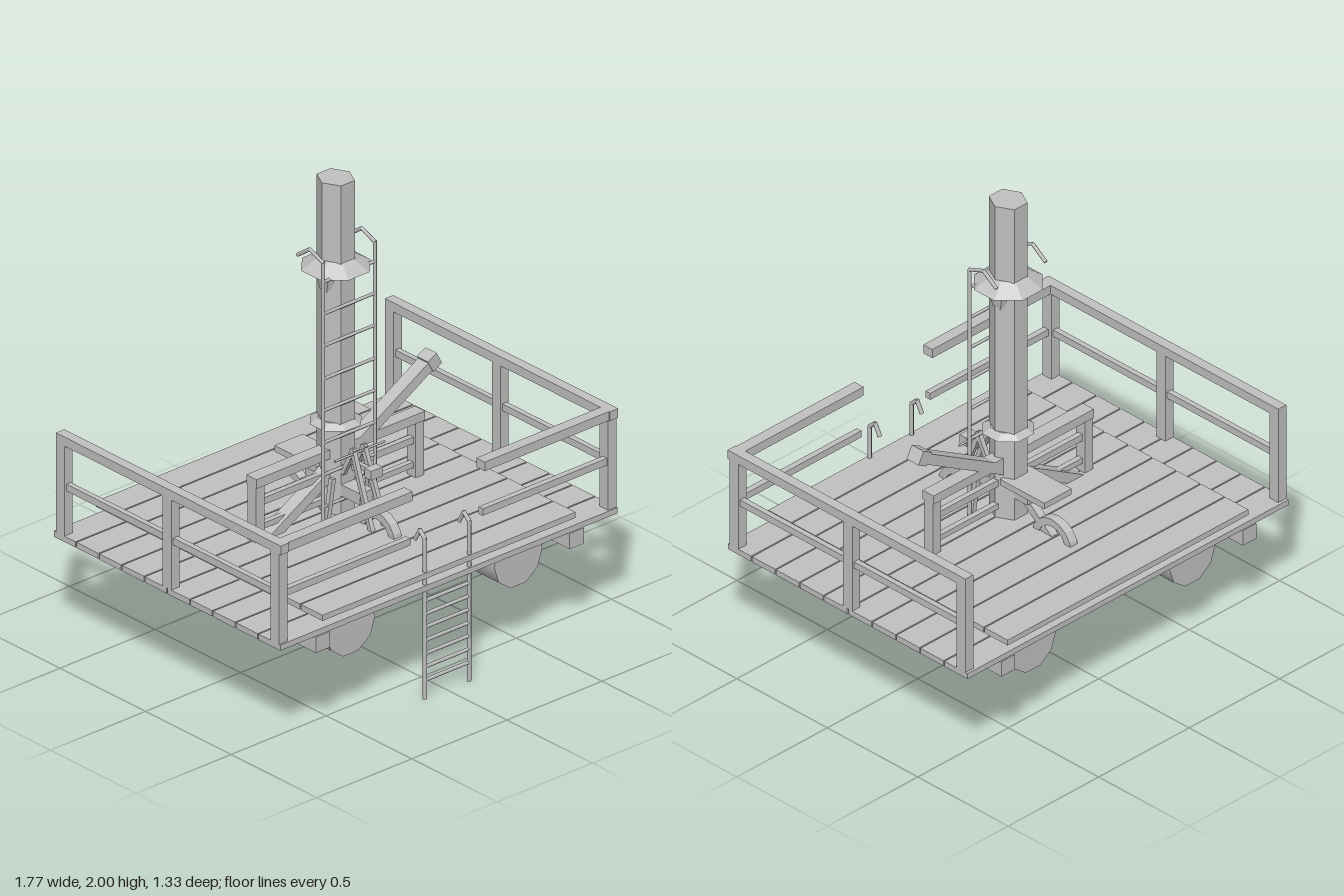
import * as THREE from 'three';

export function createModel() {
  const root = new THREE.Group();
  const grey = new THREE.MeshStandardMaterial({ color: 0xc0c0c0 });
  grey.name = 'plain grey';

  const group = (name, parent = root) => {
    const g = new THREE.Group();
    g.name = name;
    parent.add(g);
    return g;
  };
  const add = (parent, name, geo, x = 0, y = 0, z = 0) => {
    const m = new THREE.Mesh(geo, grey);
    m.name = name;
    m.position.set(x, y, z);
    parent.add(m);
    return m;
  };
  // box given by its extents on each axis
  const box = (parent, name, [x0, x1], [y0, y1], [z0, z1]) => add(parent, name,
    new THREE.BoxGeometry(x1 - x0, y1 - y0, z1 - z0), (x0 + x1) / 2, (y0 + y1) / 2, (z0 + z1) / 2);
  const flat = (geo) => {
    const g = geo.toNonIndexed();
    g.computeVertexNormals();
    return g;
  };
  // square bar between two points
  const bar = (parent, name, a, b, w, h = w) => {
    const p = new THREE.Vector3(...a), q = new THREE.Vector3(...b);
    const m = add(parent, name, new THREE.BoxGeometry(w, h, p.distanceTo(q)));
    m.position.copy(p).add(q).multiplyScalar(0.5);
    m.lookAt(q);
    return m;
  };
  // round pipe through points, with straight runs and closed ends
  const pipe = (parent, name, pts, r, sides = 6) => {
    const v = pts.map((p) => new THREE.Vector3(...p));
    for (let i = 0; i + 1 < v.length; i++) {
      const d = v[i + 1].clone().sub(v[i]);
      const m = add(parent, name, new THREE.CylinderGeometry(r, r, d.length() + r * 0.6, sides));
      m.position.copy(v[i]).add(v[i + 1]).multiplyScalar(0.5);
      m.quaternion.setFromUnitVectors(new THREE.Vector3(0, 1, 0), d.normalize());
    }
  };

  // Deck: two layers of planks on long beams
  const deck = group('deck');
  for (let i = 0; i < 10; i++) {
    const z = -0.665 + i * 0.133;
    box(deck, 'lowerPlank', [-0.887, 0.887], [0.475, 0.5], [z + 0.003, z + 0.13]);
    box(deck, 'upperPlank', [-0.665, 0.665], [0.53, 0.555], [z + 0.003, z + 0.13]);
  }

  // Floats, beams and side railings, mirrored
  for (const s of [-1, 1]) {
    box(deck, 'deckBeam', [s * 0.667 - 0.037, s * 0.667 + 0.037], [0.405, 0.475], [-0.667, 0.667]);
    const float = add(root, 'float', new THREE.CylinderGeometry(0.127, 0.127, 1.155, 10), s * 0.44, 0.4, 0);
    float.rotation.set(Math.PI / 2, Math.PI / 2, 0, 'XYZ');
    float.rotation.set(Math.PI / 2, 0, 0);
    float.geometry.rotateY(Math.PI / 2);

    const rail = group(s > 0 ? 'leftRailing' : 'rightRailing');
    const xs = [s * 0.865 - 0.022, s * 0.865 + 0.022];
    for (const z of [-0.625, 0, 0.63]) box(rail, 'post', xs, [0.5, 0.9], [z - 0.025, z + 0.025]);
    box(rail, 'topRail', xs, [0.895, 0.935], [-0.65, 0.665]);
    box(rail, 'middleRail', [s * 0.865 - 0.012, s * 0.865 + 0.012], [0.695, 0.725], [-0.63, 0.63]);
    const span = s > 0 ? [0.19, 0.86] : [-0.86, -0.19];
    box(rail, 'frontTopRail', span, [0.895, 0.935], [0.61, 0.66]);
    box(rail, 'frontMiddleRail', span, [0.695, 0.725], [0.622, 0.648]);
  }
  pipe(root, 'axle', [[-0.69, 0.403, 0], [0.69, 0.403, 0]], 0.006);

  // Inner railing beside the mast
  const inner = group('innerRailing');
  for (const x of [-0.42, 0.42]) box(inner, 'innerPost', [x - 0.022, x + 0.022], [0.5, 0.8], [-0.025, 0.025]);
  box(inner, 'innerTopRail', [-0.443, 0.443], [0.795, 0.835], [-0.03, 0.03]);
  box(inner, 'innerMiddleRail', [-0.42, 0.42], [0.7, 0.73], [-0.012, 0.012]);
  box(inner, 'innerLowerRail', [-0.42, 0.42], [0.595, 0.62], [-0.012, 0.012]);

  // Six-sided mast with collars
  const mast = group('mast');
  const pole = add(mast, 'pole', flat(new THREE.CylinderGeometry(0.073, 0.073, 1.56, 6)), 0, 1.22, 0);
  pole.geometry.rotateY(Math.PI / 2);
  pole.scale.z = 1.12;
  const collar = (name, y, h, r0, r1) => {
    const g = flat(new THREE.CylinderGeometry(r1, r0, h, 8));
    g.rotateY(Math.PI / 8);
    add(mast, name, g, 0, y + h / 2, 0);
  };
  collar('upperCollar', 1.615, 0.045, 0.145, 0.075);
  collar('lowerCollar', 0.935, 0.022, 0.108, 0.075);
  for (const s of [-1, 1]) {
    const c = add(mast, 'collarBracket', flat(new THREE.CylinderGeometry(0.065, 0.018, 0.115, 8)), s * 0.055, 1.558, 0);
    c.scale.x = 0.5;
  }

  // Ladders: rails hooked over at the top, evenly spaced rungs
  const ladder = (name, x, path, r, rungs, z) => {
    const g = group(name);
    for (const s of [-1, 1]) pipe(g, 'ladderRail', path.map(([y, pz]) => [s * x, y, pz]), r);
    for (const y of rungs) pipe(g, 'rung', [[-x, y, z], [x, y, z]], r * 0.85);
  };
  ladder('mastLadder', 0.136, [[0.5, 0.078], [1.7, 0.078], [1.73, 0], [1.68, -0.07]], 0.008,
    [0.63, 0.77, 0.91, 1.05, 1.19, 1.335, 1.475, 1.615], 0.078);
  ladder('boardingLadder', 0.116, [[0, 0.65], [0.7, 0.65], [0.727, 0.62], [0.68, 0.595]], 0.009,
    Array.from({ length: 7 }, (_, i) => 0.08 + i * 0.058), 0.65);

  // Slanting boom with a block on its upper end
  const boom = group('boom');
  bar(boom, 'boomBeam', [-0.4, 0.522, 0], [0.49, 1.03, 0], 0.06, 0.045);
  bar(boom, 'boomTip', [0.47, 1.02, 0], [0.515, 1.045, 0], 0.066, 0.06);

  // Arched feet and struts round the mast base
  const base = group('mastBase');
  for (const s of [-1, 1]) {
    const arch = new THREE.Shape();
    arch.absarc(0, 0, 0.108, 0, Math.PI, false);
    arch.absarc(0, 0, 0.075, Math.PI, 0, true);
    const g = new THREE.ExtrudeGeometry(arch, { depth: 0.04, bevelEnabled: false, curveSegments: 4 });
    g.translate(0, 0, -0.02).rotateY(Math.PI / 2);
    add(base, 'archedFoot', g, 0, 0.53, s * 0.26);
    for (const z of [0.152, 0.368]) box(base, 'archLeg', [-0.02, 0.02], [0.5, 0.532], [s * z - 0.015, s * z + 0.015]);
    bar(base, 'frontStrut', [s * 0.028, 0.87, 0.13], [s * 0.035, 0.55, 0.25], 0.02);
    bar(base, 'upperStrut', [s * 0.028, 0.87, 0.14], [s * 0.028, 0.74, 0.075], 0.02);
    bar(base, 'sideStrut', [s * 0.09, 0.74, 0.08], [s * 0.12, 0.55, 0.08], 0.02);
  }
  bar(base, 'backStrut', [0, 0.68, -0.08], [0, 0.53, -0.26], 0.035);
  box(base, 'frontBlock', [-0.035, 0.035], [0.64, 0.69], [0.07, 0.18]);
  box(base, 'frontGrip', [-0.03, 0.03], [0.77, 0.81], [0.2, 0.24]);
  bar(base, 'gripArm', [0, 0.79, 0.2], [0, 0.79, 0.13], 0.02);
  box(base, 'backBlock', [-0.035, 0.035], [0.655, 0.69], [-0.14, -0.06]);
  box(base, 'seatPlate', [-0.075, 0.075], [0.718, 0.745], [-0.275, -0.03]);
  pipe(base, 'crossRod', [[-0.13, 0.85, 0.14], [0.13, 0.85, 0.14]], 0.005);

  // Shallow bowl under the deck with two fins
  const under = group('underBowl');
  const profile = [[0, 0.285], [0.1, 0.305], [0.17, 0.345], [0.222, 0.41], [0.2, 0.44], [0, 0.46]]
    .map(([x, y]) => new THREE.Vector2(x, y));
  add(under, 'bowl', flat(new THREE.LatheGeometry(profile, 10)));
  pipe(under, 'curvedFin', [[-0.19, 0.425, 0], [-0.235, 0.42, 0], [-0.275, 0.46, 0]], 0.017);
  bar(under, 'flatFin', [0.12, 0.45, 0], [0.28, 0.452, 0], 0.05, 0.035);

  return root;
}
